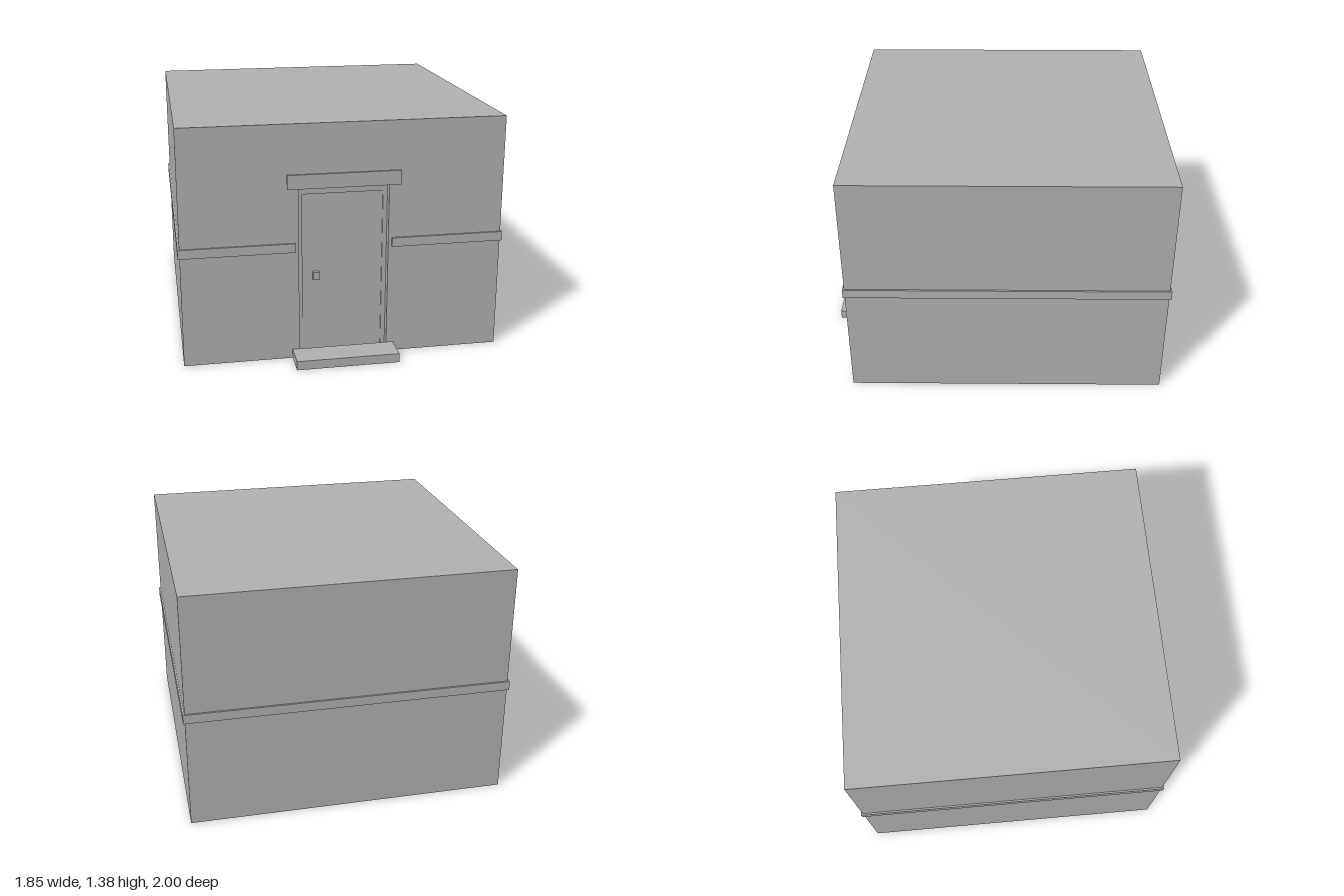
import * as THREE from 'three';

const HALF_W = 0.915, HEIGHT = 1.375, BACK = -0.99, FRONT = 0.84, WALL = 0.08;
const DOOR_HALF = 0.255, DOOR_TOP = 1.01;
const RIGHT = 0, LEFT = 1, TOP = 2, BOTTOM = 3, FACE_FRONT = 4;

export function createModel() {
  const model = new THREE.Group();
  model.name = 'house';
  const grey = new THREE.MeshStandardMaterial({ color: 0xb2b2b2, side: THREE.DoubleSide });
  grey.name = 'plain grey';

  const add = (name, geometry) => {
    const mesh = new THREE.Mesh(geometry, grey);
    mesh.name = name;
    model.add(mesh);
    return mesh;
  };

  // Box given by its two corners; listed faces are left out
  const box = (name, x0, x1, y0, y1, z0, z1, skip = []) => {
    const g = new THREE.BoxGeometry(x1 - x0, y1 - y0, z1 - z0);
    const index = Array.from(g.index.array);
    g.setIndex(index.filter((_, i) => !skip.includes(Math.floor(i / 6))));
    g.clearGroups();
    g.translate((x0 + x1) / 2, (y0 + y1) / 2, (z0 + z1) / 2);
    return add(name, g);
  };

  // Front sheet with a notch for the doorway
  const frontSheet = (name, halfWidth, top, z) => {
    const s = new THREE.Shape([
      [-halfWidth, 0], [-DOOR_HALF, 0], [-DOOR_HALF, DOOR_TOP], [DOOR_HALF, DOOR_TOP],
      [DOOR_HALF, 0], [halfWidth, 0], [halfWidth, top], [-halfWidth, top],
    ].map(([x, y]) => new THREE.Vector2(x, y)));
    add(name, new THREE.ShapeGeometry(s).translate(0, 0, z));
  };

  // Hollow walls: outer and inner shells, both open below
  const inW = HALF_W - WALL, inTop = HEIGHT - WALL;
  box('outerWalls', -HALF_W, HALF_W, 0, HEIGHT, BACK, FRONT, [BOTTOM, FACE_FRONT]);
  frontSheet('outerFrontWall', HALF_W, HEIGHT, FRONT);
  box('innerWalls', -inW, inW, 0, inTop, BACK + WALL, FRONT - WALL, [BOTTOM, FACE_FRONT]);
  frontSheet('innerFrontWall', inW, inTop, FRONT - WALL);

  // Doorway reveal
  box('doorReveal', -DOOR_HALF, DOOR_HALF, 0, DOOR_TOP, FRONT - WALL, FRONT,
    [BOTTOM, FACE_FRONT, 5]);

  for (const side of [-1, 1]) {
    const span = (a, b) => (side > 0 ? [a, b] : [-b, -a]);
    // Underside of the front wall
    const sill = new THREE.PlaneGeometry(inW - DOOR_HALF, WALL);
    sill.rotateX(Math.PI / 2);
    sill.translate(side * (inW + DOOR_HALF) / 2, 0, FRONT - WALL / 2);
    add('frontWallUnderside', sill);
    // Door jambs
    box('doorJamb', ...span(0.23, DOOR_HALF), 0, DOOR_TOP, 0.762, 0.797);
    // Belt course on the front and sides
    box('frontBelt', ...span(0.275, 0.925), 0.645, 0.698, FRONT, 0.85);
    box('sideBelt', ...span(HALF_W, 0.925), 0.645, 0.698, -1, FRONT);
  }
  box('backBelt', -HALF_W, HALF_W, 0.645, 0.698, -1, BACK);

  // Door with its head, handle, lintel and step
  box('doorHead', -0.23, 0.23, 0.965, DOOR_TOP, 0.762, 0.797);
  box('door', -0.23, 0.23, 0, 0.965, 0.765, 0.79);
  box('doorHandle', -0.17, -0.135, 0.46, 0.505, 0.79, 0.815);
  box('lintel', -0.32, 0.32, DOOR_TOP, 1.092, FRONT, 0.85);
  box('doorStep', -0.295, 0.295, 0, 0.053, FRONT, 1, [BOTTOM, 5]);

  return model;
}
